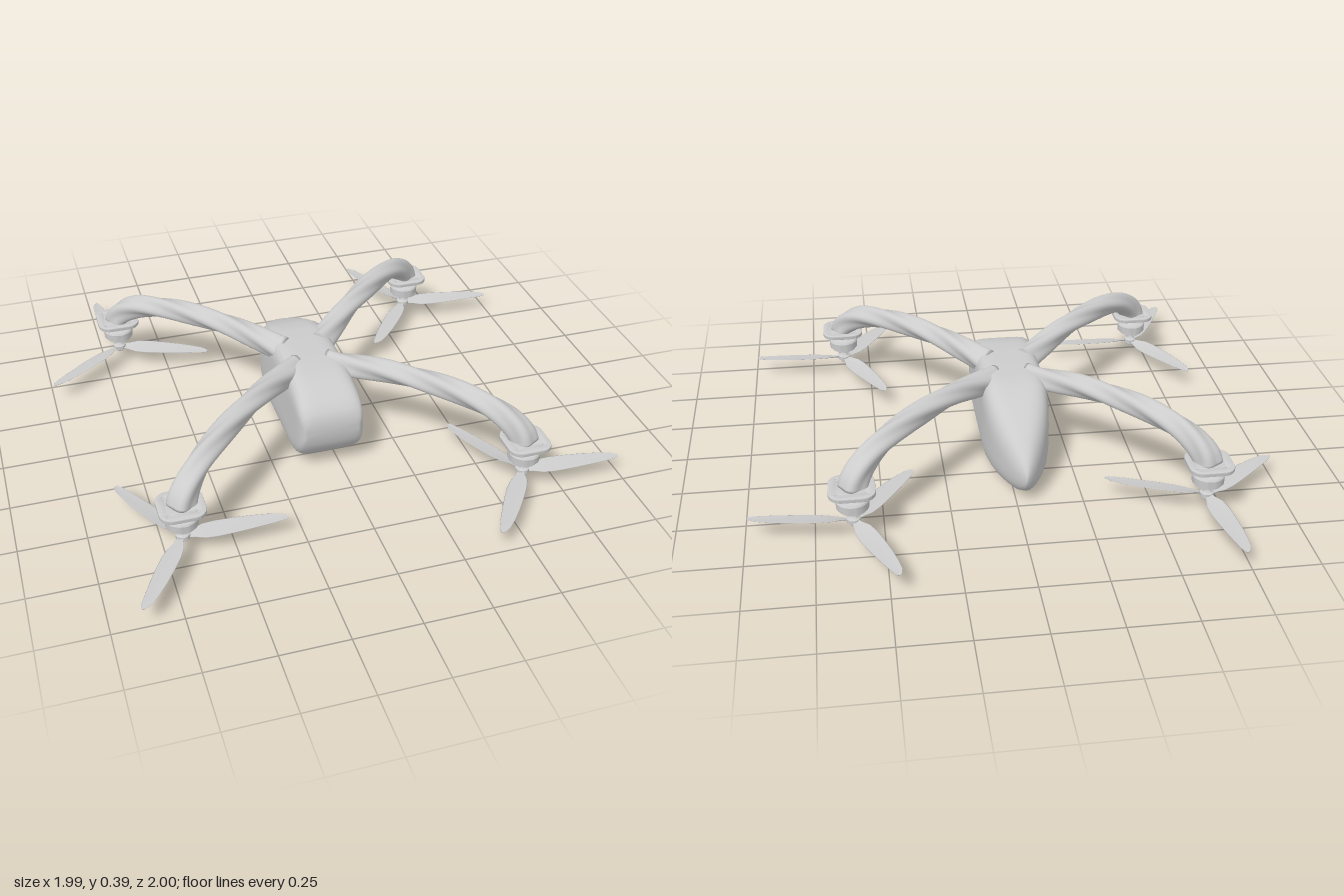
import * as THREE from 'three';
import { toCreasedNormals } from 'three/addons/utils/BufferGeometryUtils.js';

const material = new THREE.MeshStandardMaterial({ color: 0xcccccc });

function part(name, geometry, parent, x = 0, y = 0, z = 0) {
  const mesh = new THREE.Mesh(geometry, material);
  mesh.name = name;
  mesh.position.set(x, y, z);
  parent.add(mesh);
  return mesh;
}

// Skin a list of rings (counter-clockwise about the direction of travel) and cap both ends.
function loft(rings) {
  const n = rings[0].length, last = rings.length - 1;
  const points = rings.flat(), index = [];
  for (let i = 0; i < last; i++) {
    for (let j = 0; j < n; j++) {
      const a = i * n + j, b = i * n + (j + 1) % n;
      index.push(a, b, a + n, b, b + n, a + n);
    }
  }
  for (const i of [0, last]) {
    const centre = points.length;
    const mid = new THREE.Vector3();
    rings[i].forEach((p) => mid.addScaledVector(p, 1 / n));
    points.push(mid);
    for (let j = 0; j < n; j++) {
      const a = i * n + j, b = i * n + (j + 1) % n;
      if (i === 0) index.push(centre, b, a);
      else index.push(centre, a, b);
    }
  }
  const geometry = new THREE.BufferGeometry().setFromPoints(points);
  geometry.setIndex(index);
  geometry.computeVertexNormals();
  return geometry;
}

// Fuselage: rounded-box sections from the pointed tail to the blunt nose.
function bodyGeometry() {
  // z, bottom, top, half width, squareness
  const stations = [
    [-0.495, 0.09, 0.12, 0.004, 2], [-0.485, 0.066, 0.145, 0.018, 2.1],
    [-0.46, 0.04, 0.175, 0.038, 2.2], [-0.42, 0.018, 0.21, 0.06, 2.4],
    [-0.37, 0.006, 0.245, 0.083, 2.8], [-0.31, 0, 0.28, 0.104, 3.3],
    [-0.25, 0, 0.308, 0.118, 4], [-0.18, 0, 0.335, 0.127, 5],
    [-0.1, 0, 0.347, 0.128, 6], [0.1, 0, 0.347, 0.128, 6],
    [0.18, 0, 0.342, 0.128, 6], [0.22, 0.003, 0.335, 0.128, 6],
    [0.26, 0.016, 0.325, 0.128, 6], [0.3, 0.038, 0.31, 0.128, 6],
    [0.335, 0.068, 0.288, 0.126, 6], [0.36, 0.1, 0.264, 0.12, 6],
    [0.373, 0.132, 0.238, 0.112, 5], [0.378, 0.165, 0.21, 0.1, 4],
  ];
  return loft(stations.map(([z, low, high, w, e]) => {
    const ring = [];
    for (let j = 0; j < 64; j++) {
      const t = j / 64 * Math.PI * 2, c = Math.cos(t), s = Math.sin(t);
      const k = (Math.abs(c) ** e + Math.abs(s) ** e) ** (-1 / e);
      ring.push(new THREE.Vector3(c * k * w, (low + high) / 2 + s * k * (high - low) / 2, z));
    }
    return ring;
  }));
}

// Arm: a four-strand twisted tube that leaves the body along +x and bends down to the motor.
function armGeometry() {
  const path = new THREE.CatmullRomCurve3([
    [0.07, 0.3], [0.15, 0.32], [0.25, 0.341], [0.36, 0.346], [0.47, 0.336],
    [0.56, 0.308], [0.615, 0.266], [0.638, 0.23], [0.643, 0.205],
  ].map(([d, y]) => new THREE.Vector3(d * Math.SQRT2, y, 0)));
  const rings = [], steps = 72, around = 48;
  for (let i = 0; i <= steps; i++) {
    const u = i / steps, p = path.getPointAt(u), t = path.getTangentAt(u);
    const radius = 0.041 + 0.012 * Math.exp(-u * 9) + 0.01 * u ** 6;
    const ring = [];
    for (let j = 0; j < around; j++) {
      const a = j / around * Math.PI * 2;
      const r = radius * (1 + 0.1 * Math.cos(4 * (a - u * 4.2)));
      const c = Math.cos(a) * r, s = Math.sin(a) * r;
      ring.push(new THREE.Vector3(p.x - t.y * c, p.y + t.x * c, s));
    }
    rings.push(ring);
  }
  return loft(rings);
}

// Blade: thin lens sections along +x with a swept outline and pitch that eases off to the tip.
function bladeGeometry() {
  // distance from hub, leading edge z, trailing edge z, pitch
  const stations = [
    [0.012, -0.012, 0.012, 0.35], [0.04, -0.018, 0.018, 0.32], [0.075, -0.033, 0.03, 0.26],
    [0.12, -0.038, 0.035, 0.2], [0.18, -0.037, 0.034, 0.16], [0.25, -0.033, 0.03, 0.13],
    [0.31, -0.026, 0.025, 0.1], [0.355, -0.017, 0.02, 0.08], [0.377, -0.005, 0.015, 0.06],
    [0.383, 0.003, 0.009, 0.05],
  ];
  return loft(stations.map(([x, lead, trail, pitch]) => {
    const ring = [], chord = trail - lead, mid = (lead + trail) / 2;
    for (let j = 0; j < 16; j++) {
      const a = j / 16 * Math.PI * 2;
      const v = Math.sin(a) * chord / 2;
      const h = Math.cos(a) * Math.min(0.003, chord * 0.08) + 0.003 * Math.sin(a) ** 2;
      ring.push(new THREE.Vector3(x, h * Math.cos(pitch) - v * Math.sin(pitch),
        mid + v * Math.cos(pitch) + h * Math.sin(pitch)));
    }
    return ring;
  }));
}

// Mounting plate: a bevelled square with round corners and four screw holes.
function plateGeometry() {
  const s = 0.08, r = 0.045, shape = new THREE.Shape();
  [[1, 1], [-1, 1], [-1, -1], [1, -1]].forEach(([x, y], i) => {
    shape.absarc(x * (s - r), y * (s - r), r, i * Math.PI / 2, (i + 1) * Math.PI / 2);
    const hole = new THREE.Path();
    hole.absarc(x * 0.052, y * 0.052, 0.01, 0, Math.PI * 2, true);
    shape.holes.push(hole);
  });
  const geometry = new THREE.ExtrudeGeometry(shape, {
    depth: 0.009, bevelThickness: 0.004, bevelSize: 0.004, bevelSegments: 2, curveSegments: 10,
  });
  geometry.rotateX(-Math.PI / 2);
  return toCreasedNormals(geometry, 0.6);
}

function turned(profile) {
  const points = profile.map(([r, y]) => new THREE.Vector2(r, y));
  return toCreasedNormals(new THREE.LatheGeometry(points, 40), 0.6);
}

export function createModel() {
  const model = new THREE.Group();
  model.name = 'quadcopter';
  const cx = -0.0375, cz = 0.025;

  part('body', bodyGeometry(), model, cx, 0, 0);

  const arm = armGeometry(), blade = bladeGeometry(), plate = plateGeometry();
  const screw = new THREE.CylinderGeometry(0.008, 0.008, 0.012, 12);
  const mount = turned([[0, 0.172], [0.03, 0.172], [0.034, 0.182], [0.058, 0.19], [0.064, 0.203], [0, 0.203]]);
  const motor = turned([[0, 0.116], [0.034, 0.116], [0.05, 0.123], [0.05, 0.132], [0.059, 0.134],
    [0.06, 0.162], [0.056, 0.168], [0.04, 0.17], [0.03, 0.176], [0, 0.176]]);
  const hub = turned([[0, 0.06], [0.016, 0.06], [0.018, 0.064], [0.018, 0.068], [0.026, 0.07],
    [0.026, 0.086], [0.018, 0.09], [0.012, 0.1], [0.012, 0.12], [0, 0.12]]);
  const strut = new THREE.BoxGeometry(0.012, 0.01, 0.012);

  // side x, side z, propeller angle in degrees
  for (const [sx, sz, turn] of [[1, 1, 4], [-1, 1, 1], [1, -1, 7], [-1, -1, 23]]) {
    part('arm', arm, model, cx, 0, cz).rotation.y = Math.atan2(-sz, sx);

    const rotor = new THREE.Group();
    rotor.name = 'rotorUnit';
    rotor.position.set(cx + sx * 0.6475, 0, cz + sz * 0.6475);
    model.add(rotor);
    part('mountPlate', plate, rotor, 0, 0.204, 0);
    part('mountFlange', mount, rotor);
    part('motor', motor, rotor);
    part('propellerHub', hub, rotor);
    for (const x of [-1, 1]) {
      for (const z of [-1, 1]) part('screw', screw, rotor, x * 0.052, 0.208, z * 0.052);
    }
    // Small bolts under the motor
    for (let i = 0; i < 4; i++) {
      const a = (i + 0.5) * Math.PI / 2;
      part('motorBolt', strut, rotor, Math.cos(a) * 0.026, 0.112, Math.sin(a) * 0.026);
    }
    // Three blades
    for (let i = 0; i < 3; i++) {
      part('blade', blade, rotor, 0, 0.077, 0).rotation.y = -THREE.MathUtils.degToRad(turn + i * 120);
    }
  }
  return model;
}
